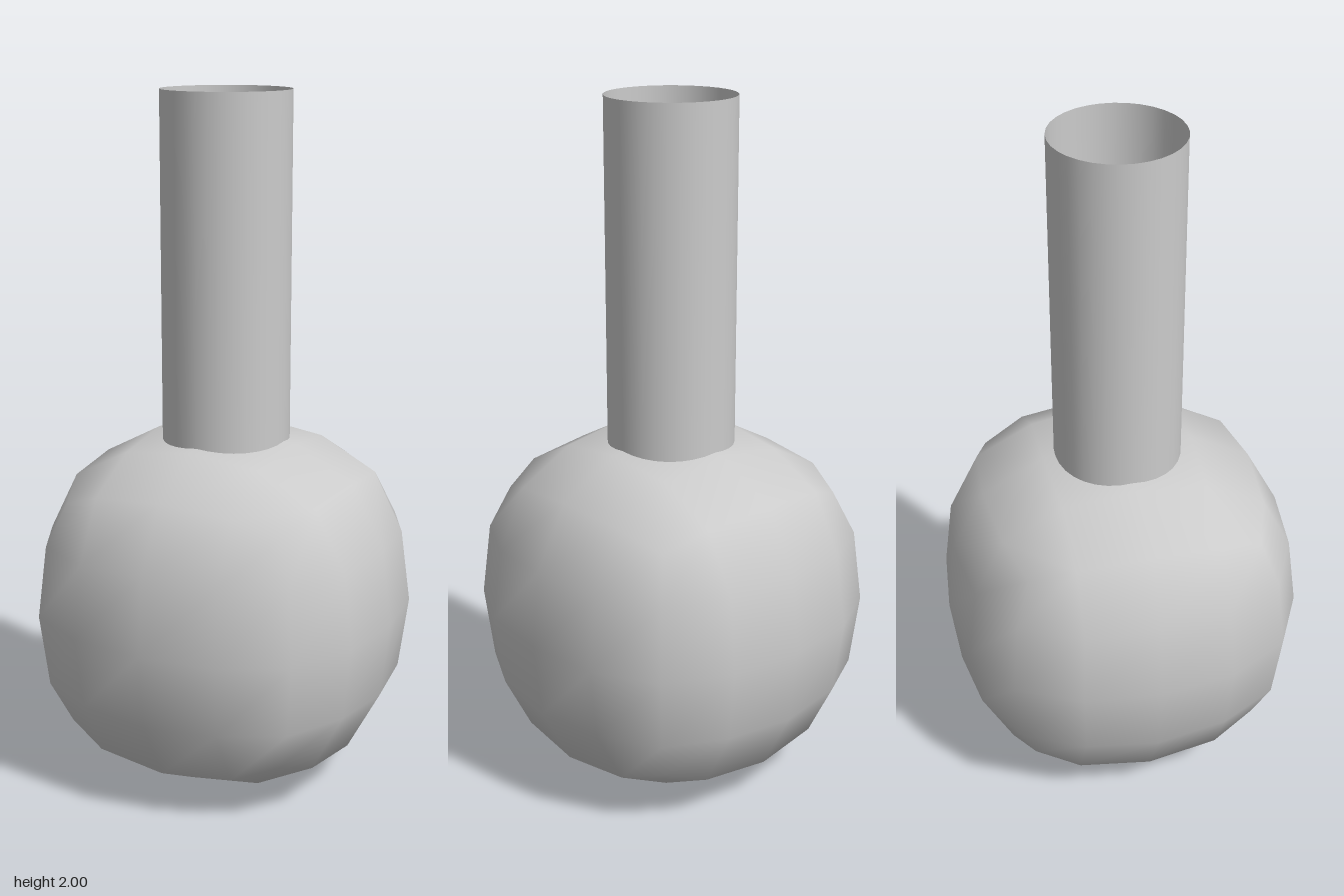
import * as THREE from 'three';
import { mergeVertices } from 'three/addons/utils/BufferGeometryUtils.js';

const BODY_Y = 0.523;

// Rounded cube: each lattice point of a 4x4x4 box moves to a spot chosen by its
// distances from the centre planes (0, 1 or 2 steps, sorted)
const rounded = {
  '002': [0, 0, 0.522],
  '012': [0, 0.22, 0.496],
  '022': [0, 0.4, 0.4],
  '112': [0, 0.21, 0.47],
  '122': [0, 0.21, 0.381],
  '222': [0, 0, 0.335],
};

function roundedCube() {
  let geometry = new THREE.BoxGeometry(4, 4, 4, 4, 4, 4);
  geometry.deleteAttribute('normal');
  geometry.deleteAttribute('uv');
  geometry = mergeVertices(geometry);
  const position = geometry.attributes.position;
  for (let i = 0; i < position.count; i++) {
    const p = [position.getX(i), position.getY(i), position.getZ(i)].map(Math.round);
    const row = rounded[p.map(Math.abs).sort().join('')];
    position.setXYZ(i, ...p.map((c) => Math.sign(c) * row[Math.abs(c)]));
  }
  geometry.computeVertexNormals();
  return geometry;
}

export function createModel() {
  const group = new THREE.Group();
  group.name = 'flask';
  const material = new THREE.MeshStandardMaterial({ color: 0xcccccc, side: THREE.DoubleSide });

  // Closed, softly shaded body
  const body = new THREE.Mesh(roundedCube(), material);
  body.name = 'body';
  body.position.y = BODY_Y;
  group.add(body);

  // Thin open tube rising from the body
  const bottom = 0.96;
  const neck = new THREE.Mesh(
    new THREE.CylinderGeometry(0.184, 0.184, 2 - bottom, 32, 1, true),
    material,
  );
  neck.name = 'neck';
  neck.position.y = (2 + bottom) / 2;
  group.add(neck);

  return group;
}
